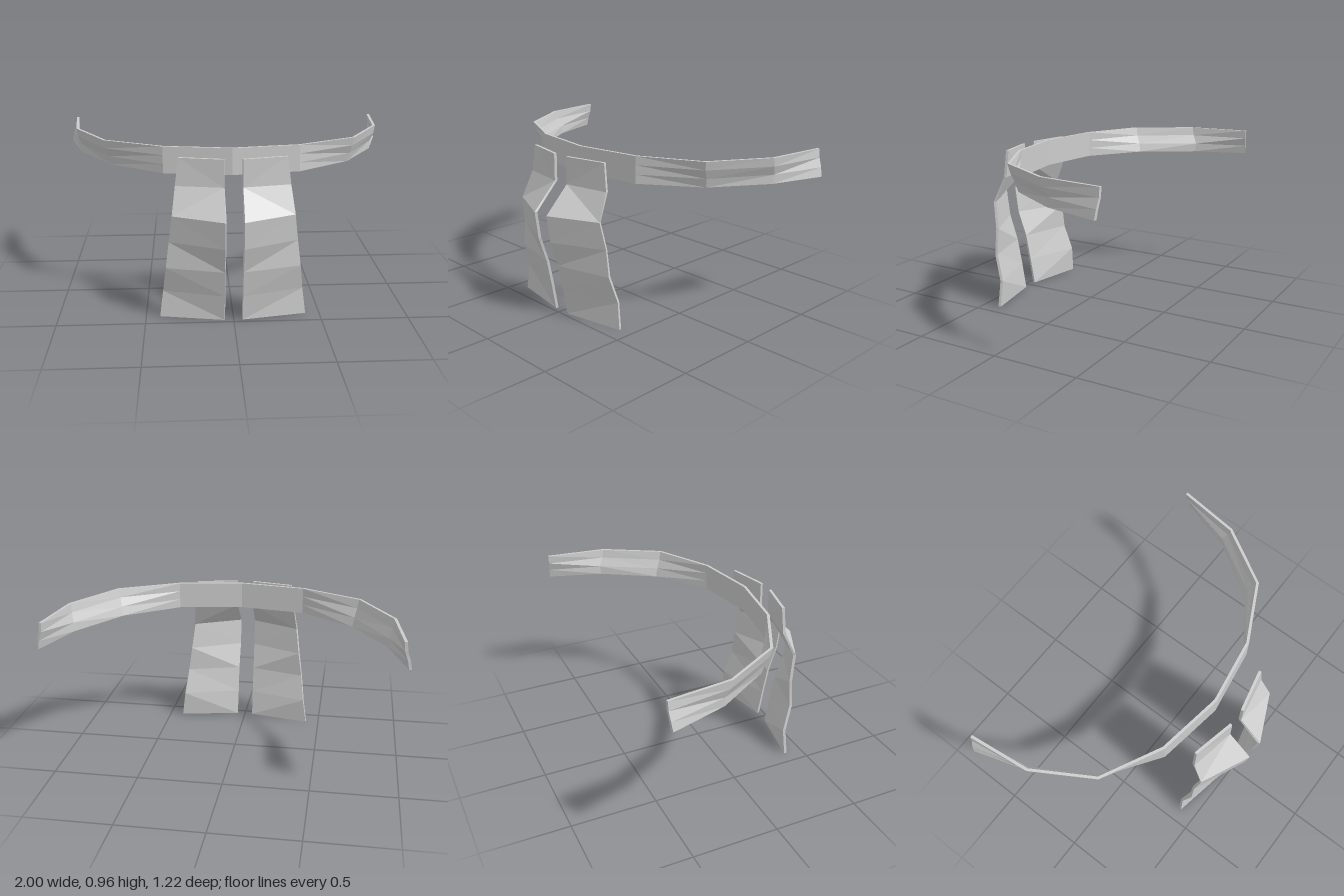
import * as THREE from 'three';

const cloth = new THREE.MeshStandardMaterial({ color: 0xcccccc, flatShading: true });
cloth.name = 'light grey cloth';

// Closed thin slab. cols[i][j] = front points, i towards +x, j downwards.
// falling(i, j) tells whether the facet diagonal of a cell falls towards +x.
function slab(name, cols, thickness, falling) {
  const nx = cols.length, ny = cols[0].length;
  const back = cols.map((col, i) => col.map((p, j) => {
    const a = cols[Math.max(i - 1, 0)][j], b = cols[Math.min(i + 1, nx - 1)][j];
    const n = new THREE.Vector3(-(b.z - a.z), 0, b.x - a.x).normalize();
    return p.clone().addScaledVector(n, -thickness);
  }));
  const out = [];
  const tri = (...pts) => pts.forEach((p) => out.push(p.x, p.y, p.z));
  for (let i = 0; i < nx - 1; i++) {
    for (let j = 0; j < ny - 1; j++) {
      [cols, back].forEach((g, isBack) => {
        const a = g[i][j], b = g[i + 1][j], c = g[i + 1][j + 1], d = g[i][j + 1];
        const faces = falling(i, j) ? [[a, d, c], [a, c, b]] : [[a, d, b], [b, d, c]];
        faces.forEach((f) => tri(...(isBack ? f.reverse() : f)));
      });
    }
  }
  // Rim, walked counterclockwise as seen from the front
  const rim = [];
  for (let j = 0; j < ny - 1; j++) rim.push([0, j]);
  for (let i = 0; i < nx - 1; i++) rim.push([i, ny - 1]);
  for (let j = ny - 1; j > 0; j--) rim.push([nx - 1, j]);
  for (let i = nx - 1; i > 0; i--) rim.push([i, 0]);
  rim.forEach(([i, j], k) => {
    const [u, v] = rim[(k + 1) % rim.length];
    tri(cols[i][j], back[i][j], cols[u][v]);
    tri(cols[u][v], back[i][j], back[u][v]);
  });
  const geo = new THREE.BufferGeometry();
  geo.setAttribute('position', new THREE.Float32BufferAttribute(out, 3));
  geo.computeVertexNormals();
  const mesh = new THREE.Mesh(geo, cloth);
  mesh.name = name;
  return mesh;
}

const mirror = (cols) => cols.map((c) => c.map((p) => new THREE.Vector3(-p.x, p.y, p.z))).reverse();

export function createModel() {
  const group = new THREE.Group();
  group.name = 'beltWithFlaps';

  // Curved belt: stations from the centre to the left end, [x, z] per level, top to bottom
  const levels = [0.965, 0.915, 0.863, 0.811];
  const same = (x, z) => levels.map(() => [x, z]);
  const half = [
    same(0, 0.316),
    same(0.387, 0.255),
    [[0.73, 0.08], [0.722, 0.07], [0.71, 0.047], [0.70, 0.035]],
    [[0.925, -0.25], [0.92, -0.26], [0.905, -0.285], [0.90, -0.28]],
    [[0.967, -0.61], [0.972, -0.61], [0.99, -0.605], [1.0, -0.60]],
  ].map((s) => s.map(([x, z], j) => new THREE.Vector3(x, levels[j], z)));
  const belt = [...mirror(half.slice(1)), ...half];
  group.add(slab('belt', belt, 0.016, (i) => [0, 1, 5].includes(i)));

  // Hanging flaps: [y, z at inner edge, z at outer edge], top to bottom
  const rows = [
    [0.937, 0.46, 0.405], [0.78, 0.46, 0.41], [0.627, 0.61, 0.477], [0.468, 0.588, 0.449],
    [0.314, 0.535, 0.448], [0.157, 0.503, 0.4], [0, 0.475, 0.406],
  ];
  const flap = [
    rows.map(([y, z]) => new THREE.Vector3(0.052, y, z)),
    rows.map(([y, , z]) => new THREE.Vector3(0.42 - 0.128 * y, y, z)),
  ];
  // The second row, at the bend, folds the other way
  group.add(slab('leftFlap', flap, 0.016, (i, j) => j === 1));
  group.add(slab('rightFlap', mirror(flap), 0.016, (i, j) => j !== 1));
  return group;
}
